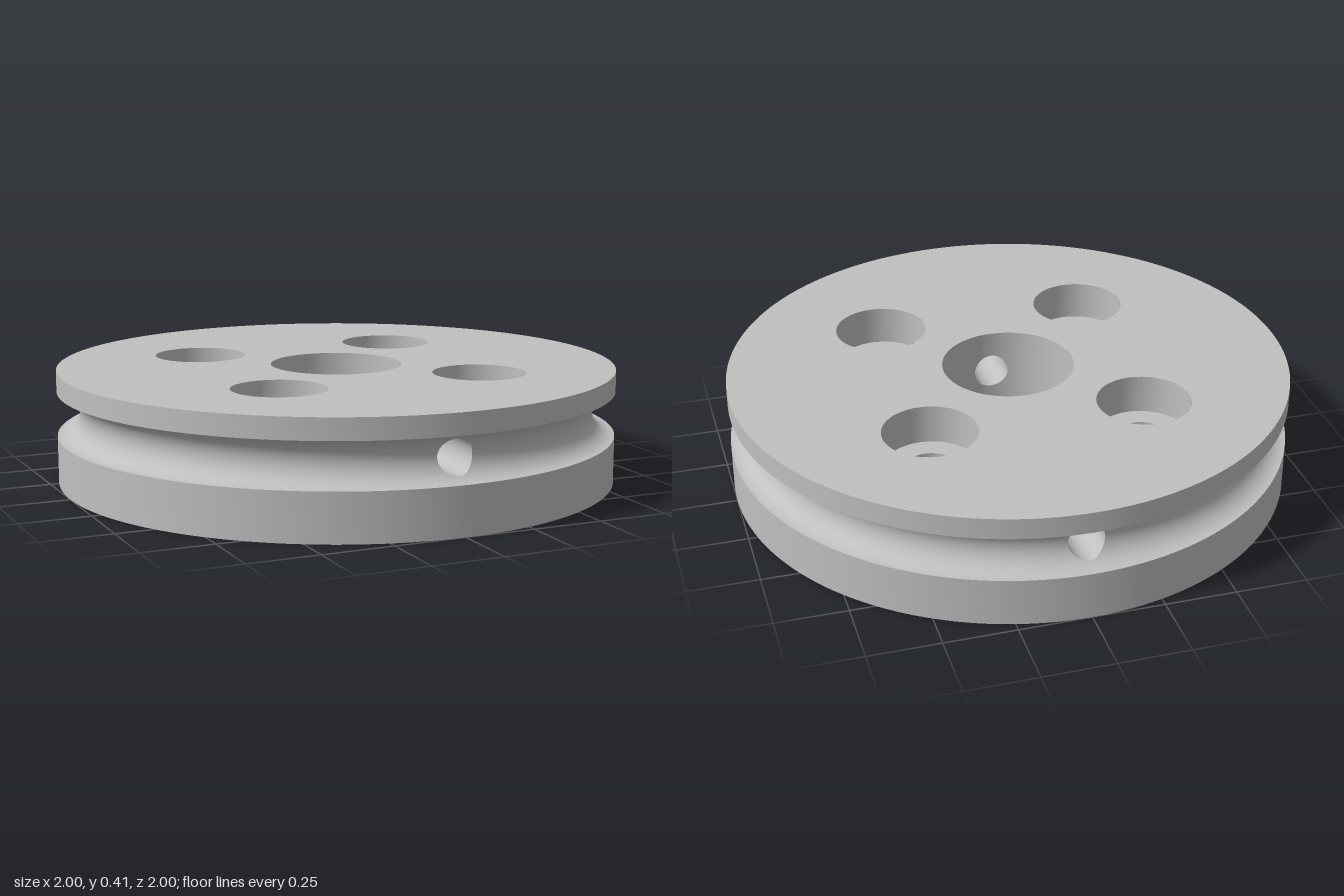
import * as THREE from 'three';
import { mergeVertices, mergeGeometries } from 'three/addons/utils/BufferGeometryUtils.js';

const TOP = 0.405, RECESS_Y = 0.09, SEAT_Y = 0.265;
const MID = 0.25, GROOVE = 0.08, CROSS = 0.063;
const BORE = 0.235, RECESS = 0.785, SEAT = 0.165, SCREW = 0.087, OFFSET = 0.38;

// Grid surface; front faces along dP/du x dP/dv unless flipped
function grid(nu, nv, fn, flip = false) {
  const pos = [], index = [];
  for (let i = 0; i <= nu; i++) for (let j = 0; j <= nv; j++) pos.push(...fn(i / nu, j / nv));
  for (let i = 0; i < nu; i++) for (let j = 0; j < nv; j++) {
    const a = i * (nv + 1) + j, b = a + nv + 1;
    if (flip) index.push(a, a + 1, b, b, a + 1, b + 1);
    else index.push(a, b, a + 1, b, b + 1, a + 1);
  }
  const g = new THREE.BufferGeometry();
  g.setAttribute('position', new THREE.Float32BufferAttribute(pos, 3));
  g.setIndex(index);
  return g;
}

function smooth(parts) {
  const g = mergeVertices(mergeGeometries(parts), 1e-5);
  g.computeVertexNormals();
  return g;
}

// Plain cylindrical wall
function wall(r, y0, y1, inward) {
  return smooth([grid(r > 0.5 ? 192 : 64, 1, (u, v) => {
    const t = u * Math.PI * 2;
    return [r * Math.sin(t), y0 + v * (y1 - y0), r * Math.cos(t)];
  }, inward)]);
}

// Round wall pierced front and back by the cross hole.
// at(v) gives [radius, y]; inv(y) gives v
function piercedWall(at, inv, v0, v1, rows, inward) {
  const parts = [];
  const addStrip = (cols, place, gap, upper) => {
    const fn = (u, w) => {
      const edge = inv(MID + (upper ? 1 : -1) * gap(u));
      const [r, y] = at(upper ? edge + (v1 - edge) * w : v0 + (edge - v0) * w);
      const t = place(u, r);
      return [r * Math.sin(t), y, r * Math.cos(t)];
    };
    const g = grid(cols, rows, fn, inward);
    parts.push(g, g.clone().rotateY(Math.PI));
  };
  for (const upper of [false, true]) {
    // columns crossing the hole
    addStrip(32, (u, r) => Math.asin(-CROSS * Math.cos(u * Math.PI) / r),
      u => CROSS * Math.sin(u * Math.PI), upper);
    // columns beside the hole
    addStrip(96, (u, r) => {
      const a = Math.asin(CROSS / r);
      return a + u * (Math.PI - 2 * a);
    }, () => 0, upper);
  }
  return smooth(parts);
}

// Flat disc with round holes, facing up or down
function plate(r, holes, y, up) {
  const shape = new THREE.Shape().absarc(0, 0, r, 0, Math.PI * 2, false);
  for (const [x, z, hr] of holes)
    shape.holes.push(new THREE.Path().absarc(x, z, hr, 0, Math.PI * 2, true));
  return new THREE.ShapeGeometry(shape, r > 0.5 ? 192 : 64)
    .rotateX(up ? -Math.PI / 2 : Math.PI / 2).translate(0, y, 0);
}

export function createModel() {
  const group = new THREE.Group();
  const metal = new THREE.MeshStandardMaterial({ color: 0xc0c0c0, side: THREE.DoubleSide });
  metal.name = 'grey metal';
  const add = (name, geometry, x = 0, z = 0) => {
    const mesh = new THREE.Mesh(geometry, metal);
    mesh.name = name;
    mesh.position.set(x, 0, z);
    group.add(mesh);
  };

  const spots = [];
  for (const x of [-OFFSET, OFFSET]) for (const z of [-OFFSET, OFFSET]) spots.push([x, z]);
  const holes = r => [[0, 0, BORE], ...spots.map(([x, z]) => [x, z, r])];

  // Flat faces
  add('topFace', plate(1, holes(SEAT), TOP, true));
  add('bottomRim', plate(1, [[0, 0, RECESS]], 0, false));
  add('recessFloor', plate(RECESS, holes(SCREW), RECESS_Y, false));

  // Rims above and below the groove, and the recess wall
  add('upperRim', wall(1, MID + GROOVE, TOP, false));
  add('lowerRim', wall(1, 0, MID - GROOVE, false));
  add('recessWall', wall(RECESS, 0, RECESS_Y, true));

  // Half-round groove and central bore, both open to the cross hole
  const grooveAt = v => [1 - GROOVE * Math.cos(v), MID + GROOVE * Math.sin(v)];
  const grooveInv = y => Math.asin((y - MID) / GROOVE);
  add('groove', piercedWall(grooveAt, grooveInv, -Math.PI / 2, Math.PI / 2, 14, false));
  add('bore', piercedWall(v => [BORE, v], y => y, RECESS_Y, TOP, 2, true));

  // Cross hole from the bore out to the groove, front and back
  const tube = grid(64, 1, (u, v) => {
    const t = u * Math.PI * 2, x = CROSS * Math.cos(t), y = MID + CROSS * Math.sin(t);
    const r = v ? grooveAt(grooveInv(y))[0] : BORE;
    return [x, y, Math.sqrt(r * r - x * x)];
  }, true);
  add('crossHoles', smooth([tube, tube.clone().rotateY(Math.PI)]));

  // Four counterbored screw holes
  for (const [x, z] of spots) {
    add('counterbore', wall(SEAT, SEAT_Y, TOP, true), x, z);
    add('screwSeat', plate(SEAT, [[0, 0, SCREW]], SEAT_Y, true), x, z);
    add('screwHole', wall(SCREW, RECESS_Y, SEAT_Y, true), x, z);
  }
  return group;
}
